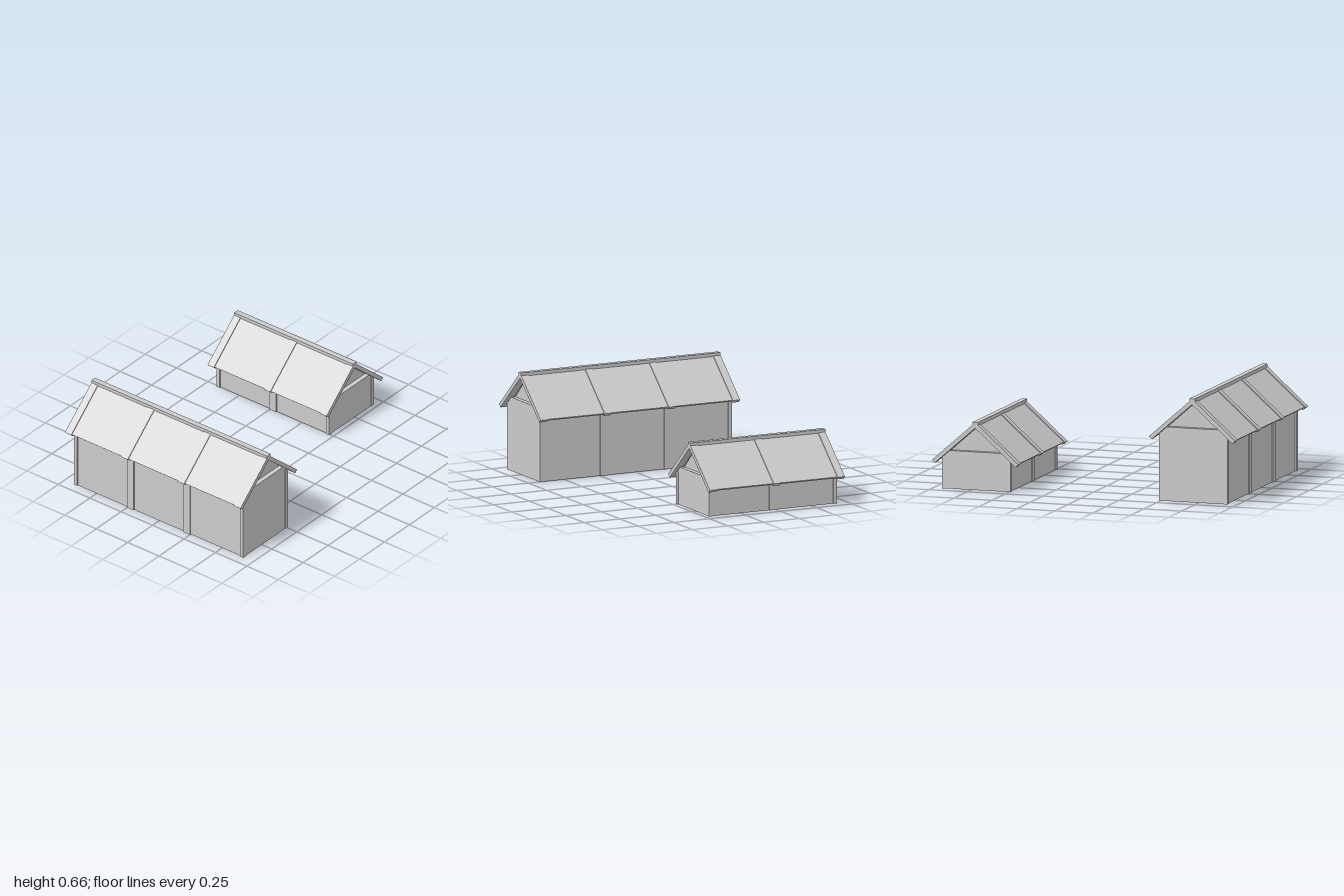
import * as THREE from 'three';

const SLOPE = 0.88; // roof rise per unit of half width
const WALL = 0.225; // half width over the posts
const material = new THREE.MeshStandardMaterial({ color: 0xcccccc, flatShading: true });

function add(group, name, geometry, x = 0, y = 0, z = 0) {
  const mesh = new THREE.Mesh(geometry, material);
  mesh.name = name;
  mesh.position.set(x, y, z);
  group.add(mesh);
}

function box(group, name, w, h, d, x, y, z) {
  add(group, name, new THREE.BoxGeometry(w, h, d), x, y, z);
}

// Prism along z, centred on z = 0, from a list of [x, y] points
function prism(points, depth) {
  const shape = new THREE.Shape(points.map(([x, y]) => new THREE.Vector2(x, y)));
  return new THREE.ExtrudeGeometry(shape, { depth, bevelEnabled: false }).translate(0, 0, -depth / 2);
}

// Chevron section with squared-off eaves
function chevron(outerApex, outerX, innerApex, innerX, depth) {
  return prism([
    [0, outerApex], [-outerX, outerApex - SLOPE * outerX], [-innerX, innerApex - SLOPE * innerX],
    [0, innerApex], [innerX, innerApex - SLOPE * innerX], [outerX, outerApex - SLOPE * outerX],
  ], depth);
}

// Hollow gabled building; apex is the roof peak height, bays run along z
function building(name, x, zCentre, bays, bayLength, apex) {
  const g = new THREE.Group();
  g.name = name;
  g.position.set(x, 0, zCentre);
  const half = (bays * bayLength) / 2;
  const under = apex - 0.035;           // rafter underside at the peak
  const plate = under - SLOPE * WALL;   // side wall top
  const ledge = apex - 0.19;            // end wall top
  const ledgeX = (under - ledge) / SLOPE;
  const h = plate + 0.012;

  // Rafters and side posts on every frame line
  for (let i = 0; i <= bays; i++) {
    const z = -half + i * bayLength;
    add(g, 'rafterPair', chevron(apex, 0.285, under, 0.265, 0.05), 0, 0, z);
    const end = i === 0 ? 1 : i === bays ? -1 : 0;
    const depth = end ? 0.025 : 0.05;
    for (const s of [-1, 1]) {
      box(g, 'post', 0.025, h, depth, s * (WALL - 0.0125), h / 2, z + end * 0.0125);
    }
  }

  // Roof skin and side walls between the frames
  for (let i = 0; i < bays; i++) {
    const z = -half + (i + 0.5) * bayLength;
    add(g, 'roofPanel', chevron(apex - 0.007, 0.277, under + 0.007, 0.265, bayLength - 0.05), 0, 0, z);
    for (const s of [-1, 1]) {
      box(g, 'sideWall', 0.012, h + 0.007, bayLength - 0.02, s * (WALL - 0.014), (h + 0.007) / 2, z);
    }
  }

  // End walls, ledge beams and recessed gables
  const wallX = WALL - 0.02;
  const wallTop = under - SLOPE * wallX;
  for (const s of [-1, 1]) {
    add(g, 'endWall', prism([
      [-wallX, 0], [wallX, 0], [wallX, wallTop], [ledgeX, ledge], [-ledgeX, ledge], [-wallX, wallTop],
    ], 0.014), 0, 0, s * (half - 0.01));
    box(g, 'ledgeBeam', 2 * ledgeX, 0.03, 0.03, 0, ledge - 0.015, s * (half - 0.02));
    add(g, 'gable', prism([
      [-ledgeX - 0.01, ledge - 0.01], [ledgeX + 0.01, ledge - 0.01], [0, under + 0.008],
    ], 0.01), 0, 0, s * (half - 0.038));
  }

  // Ridge cap
  box(g, 'ridgeCap', 0.036, 0.022, 2 * half + 0.05, 0, apex - 0.009, 0);
  return g;
}

export function createModel() {
  const model = new THREE.Group();
  model.name = 'gabledBuildings';
  model.add(building('tallBuilding', -0.715, 0, 3, 0.449, 0.658));
  model.add(building('lowBuilding', 0.715, -0.2255, 2, 0.448, 0.431));
  return model;
}
